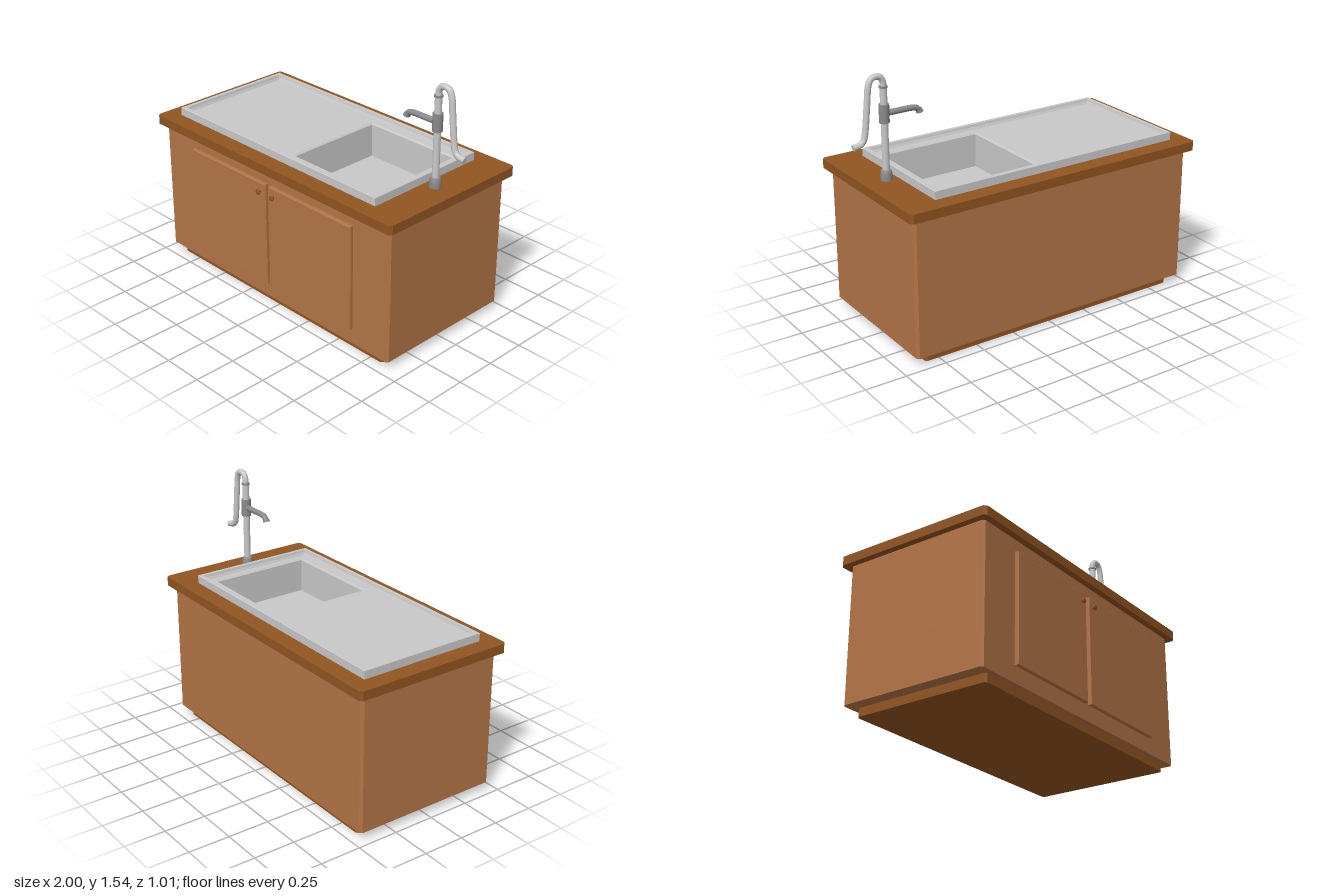
import * as THREE from 'three';

const mat = (name, color) => {
  const m = new THREE.MeshStandardMaterial({ color });
  m.name = name;
  return m;
};

export function createModel() {
  const group = new THREE.Group();
  const wood = mat('cabinet wood', 0xb37446);
  const darkWood = mat('dark wood', 0x915421);
  const steel = mat('light steel', 0xc8c8c8);
  const darkSteel = mat('dark steel', 0x8a8a8a);

  const add = (name, geometry, material, parent = group) => {
    const mesh = new THREE.Mesh(geometry, material);
    mesh.name = name;
    parent.add(mesh);
    return mesh;
  };

  // Horizontal slab with chamfered vertical corners and an optional rectangular hole
  const slab = (x0, x1, z0, z1, y0, y1, c, hole) => {
    const s = new THREE.Shape([
      [x0 + c, -z1], [x1 - c, -z1], [x1, -z1 + c], [x1, -z0 - c],
      [x1 - c, -z0], [x0 + c, -z0], [x0, -z0 - c], [x0, -z1 + c],
    ].map(([x, y]) => new THREE.Vector2(x, y)));
    if (hole) {
      const [a, b, d, e] = hole;
      s.holes.push(new THREE.Path([[a, -e], [a, -d], [b, -d], [b, -e]].map(([x, y]) => new THREE.Vector2(x, y))));
    }
    const g = new THREE.ExtrudeGeometry(s, { depth: y1 - y0, bevelEnabled: false });
    return g.rotateX(-Math.PI / 2).translate(0, y0, 0);
  };

  // Cabinet
  add('plinth', slab(-0.885, 0.835, -0.427, 0.425, 0, 0.05, 0.013), darkWood);
  add('cabinetBody', slab(-0.96, 0.905, -0.462, 0.458, 0.05, 0.87, 0.014, [0, 0.68, -0.34, 0.33]), wood);
  add('countertop', slab(-1, 0.945, -0.503, 0.498, 0.87, 0.925, 0.017, [-0.88, 0.72, -0.385, 0.38]), darkWood);

  // Doors with round knobs
  for (const [side, x, knobX] of [['right', -0.367, -0.085], ['left', 0.314, 0.028]]) {
    const door = new THREE.Group();
    door.name = side + 'Door';
    group.add(door);
    const b = 0.004, h = 0.325 - b;
    const panel = new THREE.Shape([[-h, -h], [h, -h], [h, h], [-h, h]].map(([u, v]) => new THREE.Vector2(u, v)));
    const g = new THREE.ExtrudeGeometry(panel, { depth: 0.018, bevelSize: b, bevelThickness: b, bevelSegments: 1 });
    add('doorPanel', g.translate(x, 0.47, 0.46), wood, door);
    const profile = [[0.007, 0], [0.007, 0.012], [0.016, 0.014], [0.017, 0.018], [0.013, 0.022], [0, 0.022]]
      .map(([r, y]) => new THREE.Vector2(r, y));
    add('knob', new THREE.LatheGeometry(profile, 20).rotateX(Math.PI / 2).translate(knobX, 0.74, 0.481), darkWood, door);
  }

  // Sink: rectangular rings from the outer rim, over the drainboard, into the basin
  const rings = [
    [-0.895, 0.735, -0.4, 0.395, 0.925],
    [-0.895, 0.735, -0.4, 0.395, 0.972],
    [-0.892, 0.732, -0.397, 0.392, 0.975],
    [-0.87, 0.71, -0.375, 0.37, 0.975],
    [-0.866, 0.706, -0.371, 0.366, 0.96],
    [-0.858, 0.698, -0.363, 0.358, 0.945],
    [0.014, 0.662, -0.322, 0.314, 0.945],
    [0.022, 0.654, -0.314, 0.306, 0.936],
    [0.026, 0.65, -0.31, 0.302, 0.735],
  ].map(([x0, x1, z0, z1, y]) => [[x0, y, z0], [x0, y, z1], [x1, y, z1], [x1, y, z0]]);
  const pos = [];
  const quad = (a, b, c, d) => pos.push(...a, ...b, ...c, ...a, ...c, ...d);
  for (let r = 0; r < rings.length - 1; r++) {
    for (let i = 0; i < 4; i++) {
      const j = (i + 1) % 4;
      quad(rings[r][i], rings[r][j], rings[r + 1][j], rings[r + 1][i]);
    }
  }
  quad(...rings[rings.length - 1]);
  const sink = new THREE.BufferGeometry();
  sink.setAttribute('position', new THREE.Float32BufferAttribute(pos, 3));
  sink.computeVertexNormals();
  add('sink', sink, steel);

  // Hand pump tap
  const tap = new THREE.Group();
  tap.name = 'tap';
  tap.position.x = 0.802;
  group.add(tap);
  const cyl = (name, rTop, rBottom, y0, y1, material) =>
    add(name, new THREE.CylinderGeometry(rTop, rBottom, y1 - y0, 24).translate(0, (y0 + y1) / 2, 0), material, tap);
  const tube = (name, points, radius, material) => {
    const curve = new THREE.CatmullRomCurve3(points.map(([x, y]) => new THREE.Vector3(x, y, 0)));
    add(name, new THREE.TubeGeometry(curve, 56, radius, 16), material, tap);
    // Flat cap on the open end
    const cap = add(name + 'End', new THREE.CircleGeometry(radius, 16), material, tap);
    cap.position.copy(curve.getPoint(1));
    cap.quaternion.setFromUnitVectors(new THREE.Vector3(0, 0, 1), curve.getTangent(1));
  };
  const base = [[0.034, 0.925], [0.034, 0.955], [0.03, 0.978], [0.024, 0.985], [0, 0.985]]
    .map(([r, y]) => new THREE.Vector2(r, y));
  add('tapBase', new THREE.LatheGeometry(base, 24), darkSteel, tap);
  cyl('tapColumn', 0.02, 0.02, 0.95, 1.46, steel);
  cyl('tapCollar', 0.029, 0.029, 1.255, 1.36, darkSteel);
  cyl('tapRing', 0.024, 0.024, 1.452, 1.464, darkSteel);
  tube('pumpHandle', [[0, 1.455], [0.002, 1.488], [0.018, 1.514], [0.045, 1.521], [0.073, 1.511], [0.09, 1.475],
    [0.1, 1.39], [0.121, 1.21], [0.13, 1.178], [0.15, 1.158], [0.196, 1.148]], 0.018, steel);
  tube('spout', [[0, 1.307], [-0.08, 1.307], [-0.16, 1.307], [-0.19, 1.304], [-0.208, 1.295], [-0.215, 1.286]],
    0.017, darkSteel);
  const nozzle = add('nozzle', new THREE.CylinderGeometry(0.017, 0.021, 0.018, 20), darkSteel, tap);
  nozzle.position.set(-0.218, 1.284, 0);
  nozzle.rotation.z = -0.3;

  return group;
}
